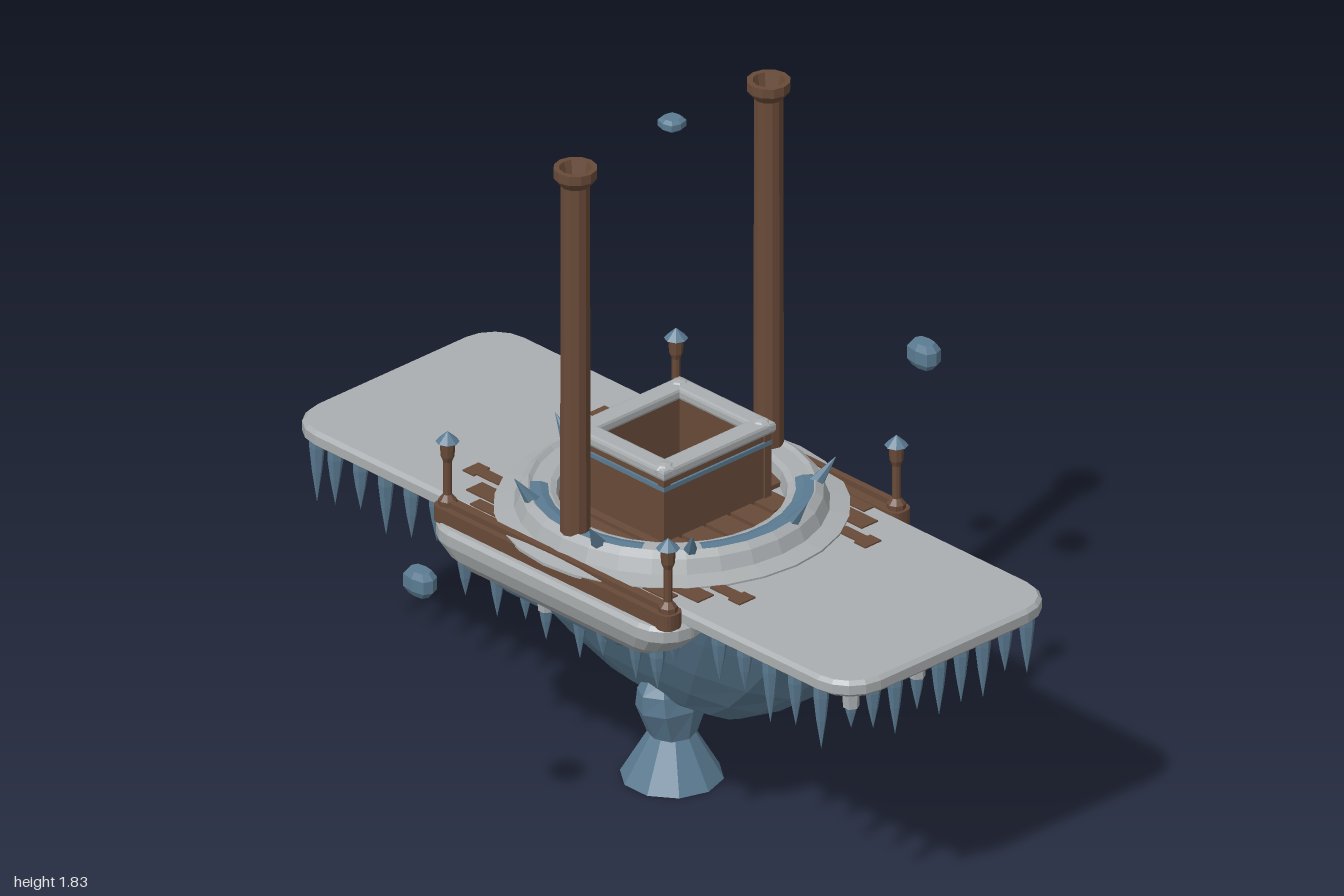
import * as THREE from 'three';

const mat = (name, color) => Object.assign(new THREE.MeshStandardMaterial({ color }), { name });

// Faceted normals for the low-poly style
function flat(geo) {
  const g = geo.index ? geo.toNonIndexed() : geo;
  g.computeVertexNormals();
  return g;
}

// Cross-section outlines in the x-z plane
function roundedRect(hx, hz, r, n = 4) {
  const pts = [];
  [[1, 1], [-1, 1], [-1, -1], [1, -1]].forEach(([sx, sz], c) => {
    for (let i = 0; i <= n; i++) {
      const a = (c + i / n) * Math.PI / 2;
      pts.push([sx * (hx - r) + r * Math.cos(a), sz * (hz - r) + r * Math.sin(a)]);
    }
  });
  return pts;
}
function superEllipse(hx, hz, e, n = 16) {
  const f = v => Math.sign(v) * Math.abs(v) ** (2 / e);
  return Array.from({ length: n }, (_, i) => {
    const a = i / n * Math.PI * 2;
    return [hx * f(Math.cos(a)), hz * f(Math.sin(a))];
  });
}

// Closed solid through outlines listed from bottom to top: [y, points]
function loft(rings) {
  const n = rings[0][1].length, pos = [], idx = [], last = rings.length - 1;
  rings.forEach(([y, pts]) => pts.forEach(([x, z]) => pos.push(x, y, z)));
  const bottom = n * rings.length, top = bottom + 1;
  pos.push(0, rings[0][0], 0, 0, rings[last][0], 0);
  for (let j = 0; j < n; j++) {
    const k = (j + 1) % n;
    for (let i = 0; i < last; i++) {
      const a = i * n + j, b = i * n + k;
      idx.push(a, a + n, b, b, a + n, b + n);
    }
    idx.push(bottom, j, k, top, last * n + k, last * n + j);
  }
  const g = new THREE.BufferGeometry();
  g.setAttribute('position', new THREE.Float32BufferAttribute(pos, 3));
  g.setIndex(idx);
  return flat(g);
}

// Rectangular frame with an open middle
function frame(hx, hz, wall, depth, bevel = 0) {
  const rect = (T, a, b) => new T([[-a, -b], [a, -b], [a, b], [-a, b]].map(p => new THREE.Vector2(...p)));
  const s = rect(THREE.Shape, hx, hz);
  s.holes.push(rect(THREE.Path, hx - wall, hz - wall));
  const g = new THREE.ExtrudeGeometry(s, {
    depth, bevelEnabled: bevel > 0, bevelSize: bevel, bevelThickness: bevel, bevelSegments: 2,
  });
  return flat(g.rotateX(-Math.PI / 2));
}

const lathe = (pts, n, start = 0, sweep = Math.PI * 2) =>
  flat(new THREE.LatheGeometry(pts.map(p => new THREE.Vector2(...p)), n, start, sweep));

export function createModel() {
  const model = new THREE.Group();
  model.name = 'frozenShip';
  const snow = mat('snow', 0xaaaeb0), ice = mat('ice', 0x5b7b92), wood = mat('wood', 0x684a38);
  const openWood = mat('hollow wood', 0x684a38);
  openWood.side = THREE.DoubleSide;
  const add = (name, geo, material, x = 0, y = 0, z = 0) => {
    const m = new THREE.Mesh(geo, material);
    m.name = name;
    m.position.set(x, y, z);
    model.add(m);
    return m;
  };
  let seed = 7;
  const rand = () => (seed = (seed * 16807) % 2147483647) / 2147483647;

  // Pedestal: hollow flared foot and a head wider across than along
  add('foot', lathe([[0, 0.11], [0.05, 0.11], [0.122, 0], [0.13, 0], [0.06, 0.12], [0, 0.12]], 10), ice);
  add('pedestalHead', loft([[0.12, 0.06, 0.06], [0.2, 0.1, 0.075], [0.25, 0.1, 0.065], [0.285, 0.08, 0.045]]
    .map(([y, x, z]) => [y, superEllipse(x, z, 2.2, 8)])), ice);

  // Ice hull
  add('hull', loft([[0.22, 0.03, 0.1], [0.245, 0.055, 0.24], [0.32, 0.105, 0.38], [0.42, 0.16, 0.52],
    [0.55, 0.215, 0.68], [0.64, 0.25, 0.78], [0.705, 0.275, 0.86]]
    .map(([y, x, z], i) => [y, superEllipse(x, z, 2 + i * 0.14)])), ice);

  // Long snow deck with an ice underside
  add('snowDeck', loft([[0.7, 0.35, 0.99, 0.1], [0.71, 0.362, 1, 0.11], [0.735, 0.362, 1, 0.11], [0.745, 0.352, 0.99, 0.1]]
    .map(([y, x, z, r]) => [y, roundedRect(x, z, r)])), snow);
  add('deckUnderside', loft([0.696, 0.704].map(y => [y, roundedRect(0.343, 0.982, 0.095)])), ice);

  // Icicles, some with a snowy root
  const icicleGeo = lathe([[0, -1], [0.013, -0.55], [0.02, -0.2], [0.02, 0], [0, 0]], 6);
  const rootGeo = flat(new THREE.CylinderGeometry(0.022, 0.021, 0.04, 6));
  const icicle = (x, y, z, len) => {
    add('icicle', icicleGeo, ice, x, y, z).scale.y = len;
    if (rand() > 0.72) add('icicleRoot', rootGeo, snow, x, y - 0.02, z);
  };
  for (const s of [1, -1]) {
    for (let i = 0; i < 9; i++) icicle(-0.3 + i * 0.075, 0.7, s * 0.945, 0.1 + 0.1 * rand());
    for (let i = 0; i < 5; i++)
      for (const e of [1, -1]) icicle(s * 0.32, 0.7, e * (0.5 + i * 0.09), 0.09 + 0.1 * rand());
  }

  // Side shelves, with planks, rails and lamps
  const shelfGeo = loft([[0.605, 0.065, 0.34, 0.055], [0.63, 0.085, 0.39, 0.08], [0.67, 0.1, 0.43, 0.095],
    [0.7, 0.1, 0.43, 0.095], [0.71, 0.09, 0.42, 0.085]].map(([y, x, z, r]) => [y, roundedRect(x, z, r)]));
  const shelfIce = loft([[0.575, roundedRect(0.035, 0.22, 0.03)], [0.61, roundedRect(0.055, 0.31, 0.05)]]);
  const beamGeo = loft([[0.705, roundedRect(0.032, 0.42, 0.025)], [0.747, roundedRect(0.032, 0.42, 0.025)]]);
  const lampPost = lathe([[0, 0], [0.024, 0], [0.024, 0.015], [0.011, 0.03], [0.011, 0.12], [0.017, 0.135],
    [0.02, 0.18], [0, 0.18]], 8);
  const lampCap = flat(new THREE.ConeGeometry(0.03, 0.028, 8));
  for (const s of [1, -1]) {
    add('sideShelf', shelfGeo, snow, s * 0.345);
    add('shelfIce', shelfIce, ice, s * 0.345);
    add('sideBeam', beamGeo, wood, s * 0.39);
    add('sideRail', flat(new THREE.BoxGeometry(0.018, 0.02, 0.78)), wood, s * 0.395, 0.752, 0);
    for (const [x, w, len] of [[0.28, 0.055, 0.41], [0.335, 0.035, 0.35]])
      add('deckPlank', flat(new THREE.BoxGeometry(w, 0.014, len * 2)), wood, s * x, 0.742, 0);
    for (const e of [1, -1]) {
      add('plankEnd', flat(new THREE.BoxGeometry(0.055, 0.014, 0.04)), wood, s * 0.215, 0.742, e * 0.47);
      add('plankNeck', flat(new THREE.BoxGeometry(0.035, 0.014, 0.08)), wood, s * 0.215, 0.742, e * 0.415);
      add('lampPost', lampPost, wood, s * 0.39, 0.745, e * 0.39);
      add('lampCap', lampCap, ice, s * 0.39, 0.935, e * 0.39);
    }
    for (let i = 0; i < 8; i++) {
      const z = -0.34 + i * 0.097;
      icicle(s * (0.355 + 0.03 * rand()), 0.62, z, 0.08 + 0.07 * rand());
      if (i % 2) icicle(s * 0.29, 0.625, z - 0.03, 0.08 + 0.08 * rand());
    }
  }

  // Round snow apron rising into a ring, with exposed ice on its top
  add('snowRing', lathe([[0, 0.742], [0.44, 0.742], [0.44, 0.75], [0.39, 0.76], [0.375, 0.795], [0.355, 0.81],
    [0.345, 0.802], [0.3, 0.802], [0.285, 0.795], [0.277, 0.757], [0, 0.757]], 28), snow);
  for (const [start, sweep] of [[-0.55, 1.5], [1.8, 1.2], [3.9, 1.4]])
    add('exposedIce', lathe([[0.352, 0.807], [0.325, 0.808], [0.302, 0.801]], 7, start, sweep), ice);

  // Floor planks inside the ring
  for (let i = -3; i <= 3; i++) {
    const x = i * 0.083;
    add('floorPlank', flat(new THREE.BoxGeometry(0.07, 0.014, 2 * Math.sqrt(0.078 - x * x))), wood, x, 0.762, 0);
  }

  // Ice spikes leaning out of the ring
  const spikeGeo = flat(new THREE.ConeGeometry(0.026, 0.11, 6)).translate(0, 0.045, 0);
  for (const [x, z] of [[-0.02, -0.335], [0.21, -0.26], [-0.29, -0.18], [-0.33, 0.09], [-0.2, 0.27],
    [0.08, 0.33], [0.27, 0.22], [0.33, -0.06]]) {
    const out = new THREE.Vector3(x, 0.5, z).normalize();
    add('iceSpike', spikeGeo, ice, x, 0.785, z).quaternion.setFromUnitVectors(new THREE.Vector3(0, 1, 0), out);
  }

  // Open cabin with ice strap, snowy rim and a snow mound inside
  add('cabinWalls', frame(0.178, 0.157, 0.032, 0.2), wood, 0, 0.755, 0);
  add('cabinStrap', frame(0.184, 0.163, 0.02, 0.012), ice, 0, 0.912, 0);
  add('cabinRim', frame(0.182, 0.161, 0.036, 0.014, 0.009), snow, 0, 0.953, 0);
  for (const a of [1, -1]) for (const b of [1, -1]) {
    add('rimLump', flat(new THREE.SphereGeometry(1, 7, 5)), snow, a * 0.165, 0.965, b * 0.145).scale.set(0.03, 0.018, 0.028);
    add('cornerPost', flat(new THREE.BoxGeometry(0.022, 0.2, 0.022)), wood, a * 0.172, 0.855, b * 0.151);
  }
  add('cabinFloor', flat(new THREE.BoxGeometry(0.3, 0.015, 0.26)), snow, 0, 0.772, 0);
  add('snowMound', flat(new THREE.SphereGeometry(0.08, 14, 6, 0, Math.PI * 2, 0, Math.PI / 2)), snow, 0, 0.775, 0).scale.y = 0.8;
  for (const s of [1, -1]) add('moundIce', flat(new THREE.IcosahedronGeometry(0.013, 0)), ice, s * 0.052, 0.822, 0);

  // Hollow masts with collar and cap
  const mastGeo = lathe([[0.05, 0.75], [0.05, 0.775], [0.039, 0.79], [0.037, 1.762], [0.05, 1.778], [0.055, 1.785],
    [0.055, 1.81], [0.04, 1.81], [0.03, 1.77], [0.03, 0.78]], 12);
  for (const s of [1, -1]) add('mast', mastGeo, openWood, s * 0.33);

  // Floating ice chunks
  const chunk = loft([[-0.5, superEllipse(0.34, 0.34, 3, 8)], [-0.25, superEllipse(0.5, 0.5, 3, 8)],
    [0.25, superEllipse(0.5, 0.5, 3, 8)], [0.5, superEllipse(0.34, 0.34, 3, 8)]]);
  for (const s of [1, -1]) add('floatingIce', chunk, ice, s * 0.86, 0.853, 0).scale.set(0.06, 0.068, 0.09);
  add('floatingIceTop', chunk, ice, 0, 1.812, 0).scale.set(0.064, 0.032, 0.064);

  return model;
}
